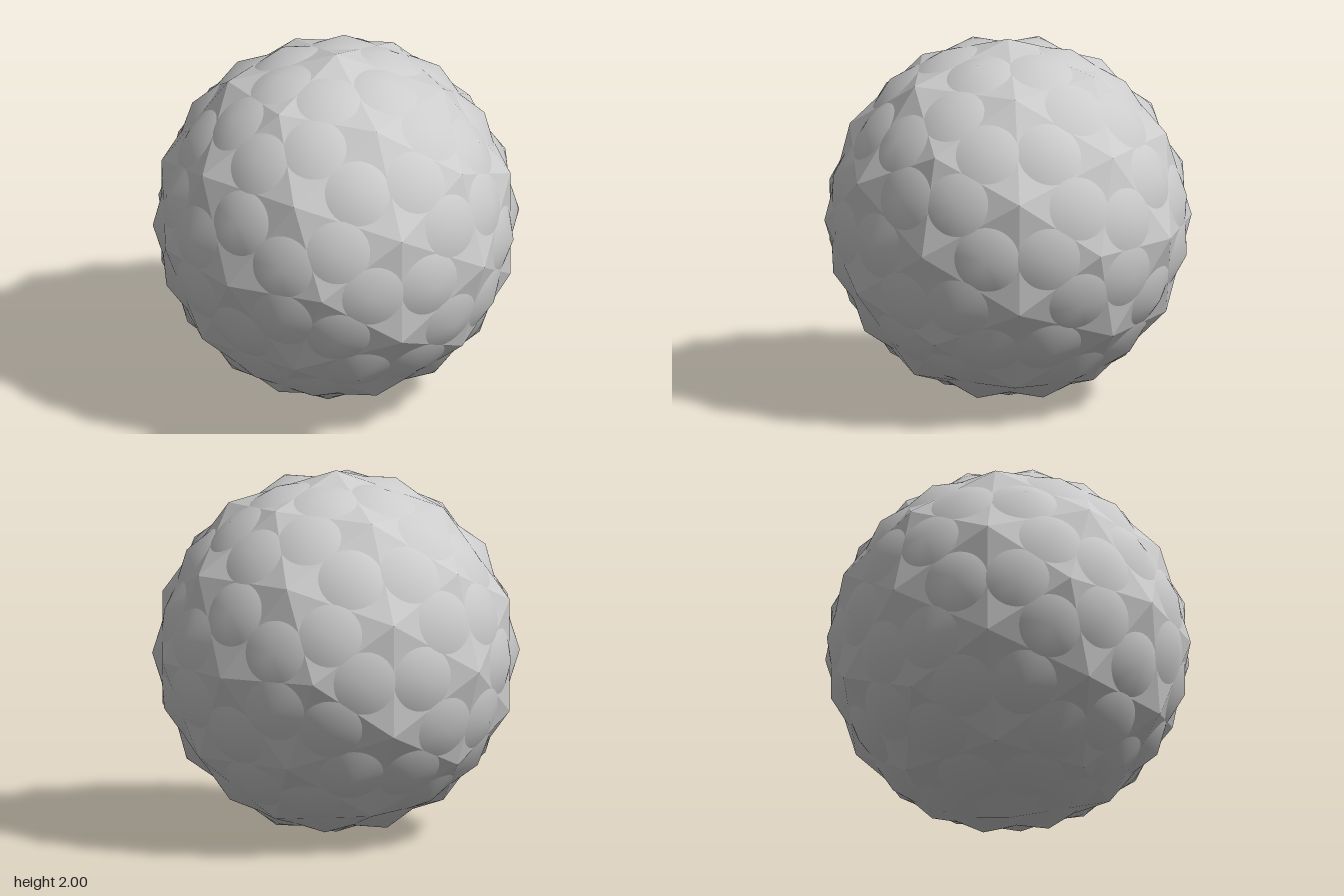
import * as THREE from 'three';

const SEGMENTS = 64;

// Shallow round cone sitting on one triangle, apex on the unit sphere
function coneOnFace(A, B, C) {
  const a = B.distanceTo(C), b = C.distanceTo(A), c = A.distanceTo(B);
  const sum = a + b + c;
  const center = new THREE.Vector3()
    .addScaledVector(A, a / sum)
    .addScaledVector(B, b / sum)
    .addScaledVector(C, c / sum);
  const cross = B.clone().sub(A).cross(C.clone().sub(A));
  const equilateral = Math.max(a, b, c) - Math.min(a, b, c) < 0.01;
  // cones on the narrower triangles overlap their neighbours slightly
  const radius = (cross.length() / sum) * (equilateral ? 1 : 1.06);
  const normal = cross.normalize();
  const u = B.clone().sub(A).normalize();
  const v = normal.clone().cross(u);

  const apex = center.clone().normalize();
  const positions = [...apex.toArray()];
  const index = [];
  for (let i = 0; i < SEGMENTS; i++) {
    const t = (i / SEGMENTS) * Math.PI * 2;
    const p = center.clone()
      .addScaledVector(u, radius * Math.cos(t))
      .addScaledVector(v, radius * Math.sin(t));
    positions.push(p.x, p.y, p.z);
    index.push(0, 1 + i, 1 + ((i + 1) % SEGMENTS));
  }
  const g = new THREE.BufferGeometry();
  g.setAttribute('position', new THREE.Float32BufferAttribute(positions, 3));
  g.setIndex(index);
  g.computeVertexNormals();
  return g;
}

export function createModel() {
  const model = new THREE.Group();
  model.name = 'studdedBall';
  const grey = new THREE.MeshStandardMaterial({ color: 0xcccccc });
  grey.name = 'pale grey';

  // Faceted core: its corners show as five- and six-pointed stars
  const coreGeometry = new THREE.IcosahedronGeometry(1, 1);
  coreGeometry.computeVertexNormals();
  const core = new THREE.Mesh(coreGeometry, grey);
  core.name = 'facetedCore';
  core.position.y = 1;
  model.add(core);

  // One cone on each of the 80 facets
  const cones = new THREE.Group();
  cones.name = 'facetCones';
  cones.position.y = 1;
  const pos = coreGeometry.attributes.position;
  const corner = (i) => new THREE.Vector3().fromBufferAttribute(pos, i);
  for (let i = 0; i < pos.count; i += 3) {
    const cone = new THREE.Mesh(coneOnFace(corner(i), corner(i + 1), corner(i + 2)), grey);
    cone.name = 'facetCone';
    cones.add(cone);
  }
  model.add(cones);
  return model;
}
